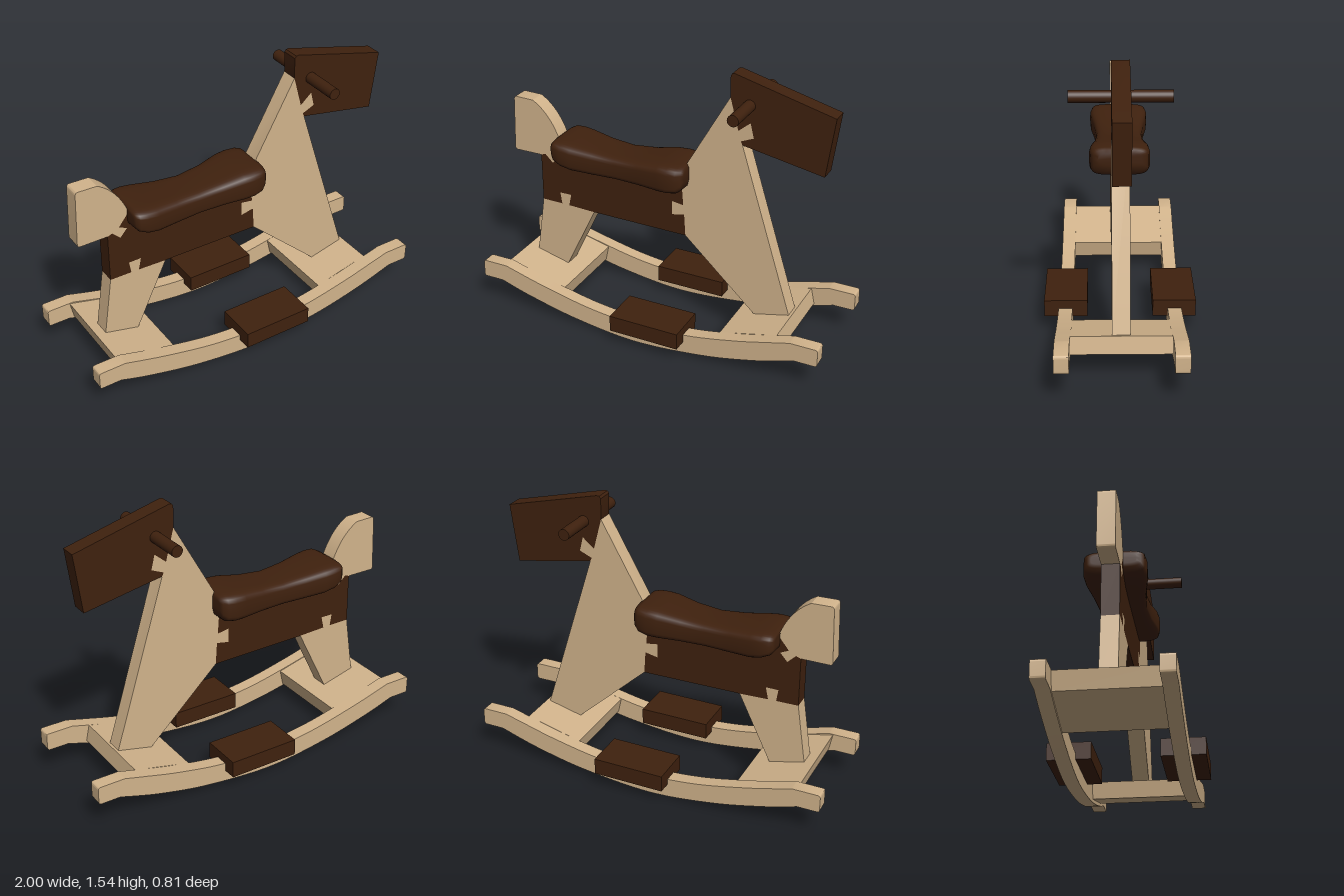
import * as THREE from 'three';
import { toCreasedNormals } from 'three/addons/utils/BufferGeometryUtils.js';

const paleWood = new THREE.MeshStandardMaterial({ color: 0xd2b48c });
const darkWood = new THREE.MeshStandardMaterial({ color: 0x3f210e });

// Dovetail keys shared by the two boards that meet there
const headKey = [[0.415, 1.24], [0.48, 1.295], [0.5, 1.215], [0.43, 1.185]];
const chestKey = [[0.111, 0.745], [0.045, 0.755], [0.045, 0.675], [0.117, 0.69]];
const legKey = [[-0.64, 0.578], [-0.65, 0.645], [-0.58, 0.645], [-0.595, 0.577]];
const tailKey = [[-0.735, 0.865], [-0.69, 0.82], [-0.65, 0.865], [-0.695, 0.887]];

const polygon = (points) => new THREE.Shape(points.map(([x, y]) => new THREE.Vector2(x, y)));
const reversed = (points) => [...points].reverse();

// Flat board cut from a side profile
function board(name, shape, z0, z1, material) {
  const geometry = new THREE.ExtrudeGeometry(shape, { depth: z1 - z0, bevelEnabled: false, curveSegments: 14 });
  geometry.translate(0, 0, z0);
  const mesh = new THREE.Mesh(toCreasedNormals(geometry, 0.5), material);
  mesh.name = name;
  return mesh;
}

function rockerShape() {
  const v = (x, y) => new THREE.Vector2(x, y);
  const s = new THREE.Shape();
  s.moveTo(-0.985, 0.165);
  s.lineTo(-0.88, 0.165);
  s.splineThru([v(-0.7, 0.11), v(-0.4, 0.043), v(-0.04, 0.005), v(0.35, 0.036), v(0.65, 0.096), v(0.88, 0.165)]);
  s.lineTo(0.985, 0.165);
  s.quadraticCurveTo(1, 0.165, 1, 0.18);
  s.lineTo(1, 0.25);
  s.quadraticCurveTo(1, 0.265, 0.985, 0.265);
  s.lineTo(0.85, 0.265);
  s.splineThru([v(0.73, 0.233), v(0.54, 0.185), v(0.28, 0.137), v(-0.02, 0.115), v(-0.3, 0.135), v(-0.6, 0.197), v(-0.85, 0.265)]);
  s.lineTo(-0.985, 0.265);
  s.quadraticCurveTo(-1, 0.265, -1, 0.25);
  s.lineTo(-1, 0.18);
  s.quadraticCurveTo(-1, 0.165, -0.985, 0.165);
  return s;
}

function tailShape() {
  const s = new THREE.Shape();
  s.moveTo(-0.762, 0.855);
  for (const [x, y] of tailKey) s.lineTo(x, y);
  s.lineTo(-0.64, 0.955);
  s.lineTo(-0.645, 0.985);
  s.quadraticCurveTo(-0.7, 1.12, -0.8, 1.175);
  s.lineTo(-0.905, 1.178);
  s.quadraticCurveTo(-0.918, 1.177, -0.919, 1.16);
  s.lineTo(-0.93, 0.87);
  s.quadraticCurveTo(-0.93, 0.855, -0.915, 0.855);
  return s;
}

// Waisted cushion: rounded cross-sections lofted along x. Rows: x, half width, bottom, top
function saddleGeometry() {
  const rows = [
    [-0.645, 0.115, 0.92, 0.975], [-0.643, 0.135, 0.9, 0.99], [-0.625, 0.153, 0.877, 0.998],
    [-0.58, 0.161, 0.855, 0.998], [-0.52, 0.157, 0.841, 0.992], [-0.4, 0.137, 0.835, 0.976],
    [-0.26, 0.125, 0.835, 0.966], [-0.12, 0.136, 0.835, 0.977], [0, 0.157, 0.835, 0.997],
    [0.06, 0.161, 0.836, 1.0], [0.11, 0.153, 0.845, 0.999], [0.135, 0.138, 0.87, 0.993],
    [0.143, 0.115, 0.905, 0.975]];
  const n = 32, position = [], index = [];
  const power = (t) => Math.sign(t) * Math.abs(t) ** 0.45;
  for (const [x, w, y0, y1] of rows) {
    for (let i = 0; i < n; i++) {
      const a = (i / n) * Math.PI * 2;
      position.push(x, (y0 + y1) / 2 + power(Math.sin(a)) * (y1 - y0) / 2, power(Math.cos(a)) * w);
    }
  }
  for (let r = 0; r < rows.length - 1; r++) {
    for (let i = 0; i < n; i++) {
      const a = r * n + i, b = r * n + (i + 1) % n;
      index.push(a, a + n, b, b, a + n, b + n);
    }
  }
  // End caps
  const last = (rows.length - 1) * n;
  for (let i = 1; i < n - 1; i++) {
    index.push(0, i, i + 1, last, last + i + 1, last + i);
  }
  const geometry = new THREE.BufferGeometry();
  geometry.setAttribute('position', new THREE.Float32BufferAttribute(position, 3));
  geometry.setIndex(index);
  geometry.computeVertexNormals();
  return geometry;
}

export function createModel() {
  const model = new THREE.Group();
  model.name = 'rockingHorse';
  const half = 0.046;

  // Rockers and footrests, mirrored
  for (const side of [-1, 1]) {
    const label = side > 0 ? 'front' : 'back';
    const z = side * 0.2915;
    model.add(board(label + 'Rocker', rockerShape(), z - 0.0375, z + 0.0375, paleWood));
    const rest = new THREE.Mesh(new THREE.BoxGeometry(0.4, 0.092, 0.23), darkWood);
    rest.position.set(0.05, 0.134, side * 0.29);
    rest.name = label + 'Footrest';
    model.add(rest);
  }

  // Cross planks between the rockers
  model.add(board('headPlank', polygon([[0.45, 0.07], [0.77, 0.145], [0.75, 0.237], [0.43, 0.16]]), -0.254, 0.254, paleWood));
  model.add(board('tailPlank', polygon([[-0.85, 0.165], [-0.54, 0.08], [-0.52, 0.172], [-0.87, 0.262]]), -0.254, 0.254, paleWood));

  // Body with notches for the keys
  model.add(board('body', polygon([
    [-0.762, 0.58], ...legKey, [-0.435, 0.571], [0.125, 0.565], ...reversed(chestKey),
    [0.104, 0.84], [0.104, 0.9], [-0.62, 0.9], [-0.64, 0.955], ...reversed(tailKey), [-0.762, 0.855],
  ]), -half, half, darkWood));

  // Back leg, chest and neck board, tail
  model.add(board('backLeg', polygon([
    [-0.762, 0.58], [-0.812, 0.245], [-0.62, 0.19], [-0.435, 0.571], ...reversed(legKey),
  ]), -half, half, paleWood));
  model.add(board('neckAndFrontLeg', polygon([
    [0.125, 0.565], [0.54, 0.18], [0.735, 0.228], [0.44, 1.165], ...reversed(headKey),
    [0.368, 1.415], [0.125, 0.985], [0.104, 0.9], [0.104, 0.84], ...chestKey,
  ]), -half, half, paleWood));
  model.add(board('tail', tailShape(), -half, half, paleWood));

  // Head
  model.add(board('head', polygon([
    [0.44, 1.165], [0.883, 1.083], [0.925, 1.405], [0.39, 1.543], [0.375, 1.542],
    [0.366, 1.53], [0.368, 1.415], ...headKey,
  ]), -half, half, darkWood));

  // Handle through the head
  const handle = new THREE.Mesh(new THREE.CylinderGeometry(0.031, 0.031, 0.51, 28), darkWood);
  handle.rotation.x = Math.PI / 2;
  handle.position.set(0.472, 1.388, 0);
  handle.name = 'handle';
  model.add(handle);

  const saddle = new THREE.Mesh(saddleGeometry(), darkWood);
  saddle.name = 'saddle';
  model.add(saddle);
  return model;
}
